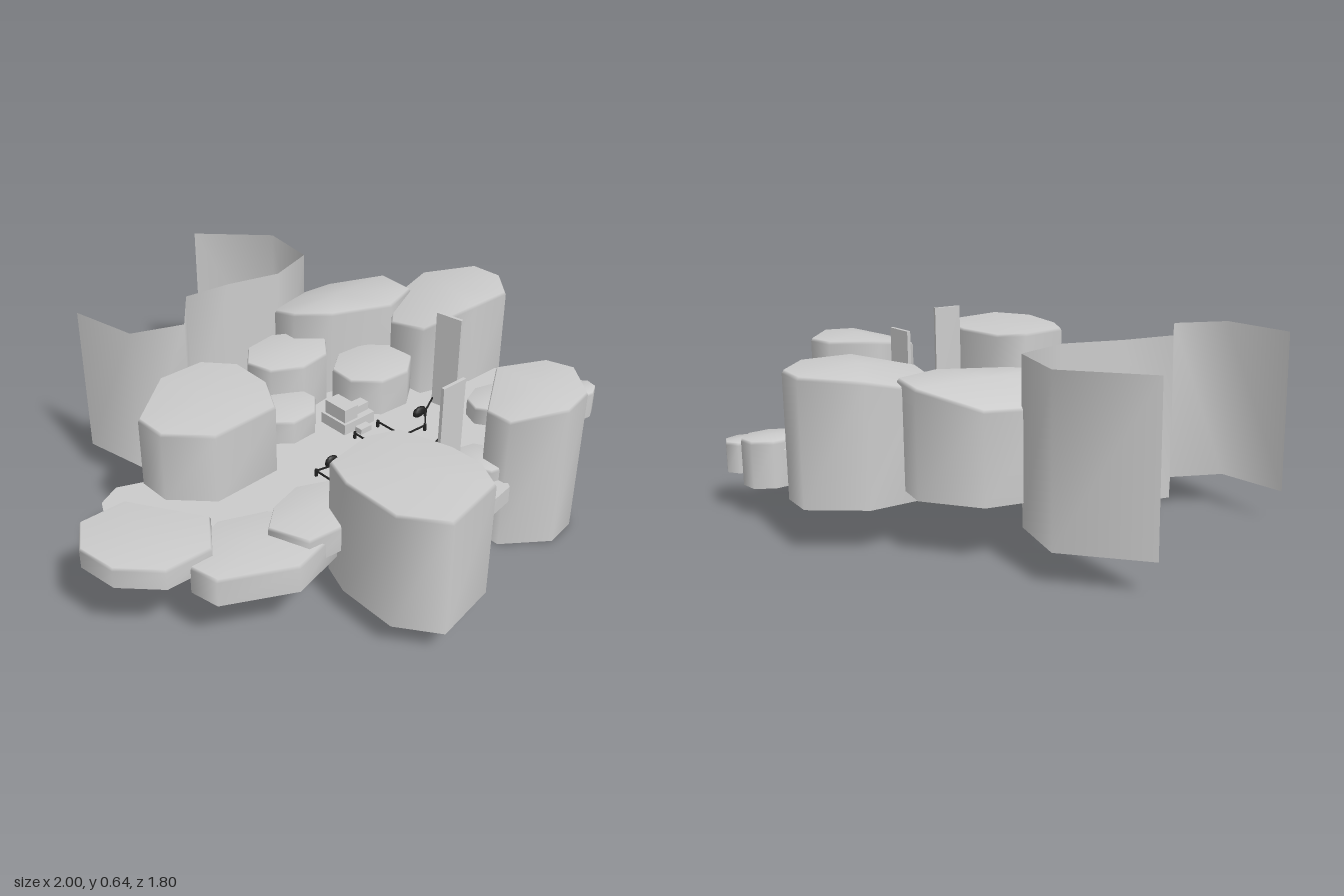
import * as THREE from 'three';

const mat = new THREE.MeshStandardMaterial({ color: 0xcccccc, side: THREE.DoubleSide });
const dark = new THREE.MeshStandardMaterial({ color: 0x222222 });
const FLOOR = 0.25;

function add(parent, name, geometry, material = mat) {
  const mesh = new THREE.Mesh(geometry, material);
  mesh.name = name;
  parent.add(mesh);
  return mesh;
}

function indexed(positions, index) {
  const g = new THREE.BufferGeometry();
  g.setAttribute('position', new THREE.Float32BufferAttribute(positions, 3));
  g.setIndex(index);
  g.computeVertexNormals();
  return g;
}

// Open-bottomed boulder: a plan outline raised from y0 to y1 with a narrow bevel,
// its top sinking by the given slopes
function boulder(outline, y0, y1, slopeX = 0, slopeZ = 0) {
  const n = outline.length;
  const cx = outline.reduce((s, p) => s + p[0], 0) / n;
  const cz = outline.reduce((s, p) => s + p[1], 0) / n;
  const positions = [], index = [];
  const sink = (x, z) => Math.min(0, slopeX * (x - cx) + slopeZ * (z - cz));
  for (const [x, z] of outline) positions.push(x, y0, z);
  for (const [x, z] of outline) positions.push(x, y1 - 0.015 + sink(x, z), z);
  for (const [x, z] of outline) {
    positions.push(cx + (x - cx) * 0.97, y1 - 0.004 + sink(x, z), cz + (z - cz) * 0.97);
  }
  positions.push(cx, y1, cz);
  for (let i = 0; i < n; i++) {
    const j = (i + 1) % n;
    for (const r of [0, n]) index.push(r + j, r + i, r + n + i, r + j, r + n + i, r + n + j);
    index.push(3 * n, 2 * n + j, 2 * n + i);
  }
  return indexed(positions, index);
}

function oval(cx, cz, rx, rz, turn = 0.3, n = 8) {
  return Array.from({ length: n }, (_, i) => {
    const a = turn + (i / n) * Math.PI * 2;
    return [cx + rx * Math.cos(a), cz + rz * Math.sin(a)];
  });
}

// Upright sheet following a plan path
function sheet(path, y0, y1) {
  const positions = [], index = [];
  path.forEach(([x, z], i) => {
    positions.push(x, y0, z, x, y1, z);
    const k = 2 * i;
    if (i) index.push(k - 2, k, k + 1, k - 2, k + 1, k - 1);
  });
  return indexed(positions, index);
}

export function createModel() {
  const model = new THREE.Group();
  model.name = 'rockyArena';

  // Thin arena floor
  const floorPlan = [
    [-0.83, -0.02], [-0.78, -0.12], [-0.7, -0.16], [-0.6, -0.12], [-0.4, -0.1],
    [0.05, -0.2], [0.3, -0.12], [0.6, 0], [0.8, 0.13], [0.87, 0.23], [0.78, 0.3],
    [0.5, 0.36], [0.42, 0.5], [0.3, 0.6], [0.25, 0.68], [0.13, 0.7], [0.05, 0.69],
    [0, 0.55], [-0.3, 0.42], [-0.6, 0.32], [-0.8, 0.1],
  ];
  const floor = new THREE.ShapeGeometry(new THREE.Shape(floorPlan.map(([x, z]) => new THREE.Vector2(x, -z))));
  floor.rotateX(-Math.PI / 2);
  add(model, 'floor', floor).position.y = FLOOR;
  add(model, 'floorFrontSkirt', sheet([[0.05, 0.69], [0.13, 0.7], [0.25, 0.68]], 0.19, FLOOR));

  // Large boulders ringing the floor
  add(model, 'backRightBoulder', boulder([[-0.42, -0.285], [-0.25, -0.285], [-0.165, -0.19], [-0.17, -0.03],
    [-0.25, 0.11], [-0.5, 0.12], [-0.62, 0], [-0.62, -0.12]], 0.24, 0.5));
  add(model, 'backLeftBoulder', boulder([[0.29, -0.49], [0.5, -0.46], [0.64, -0.3], [0.63, -0.15],
    [0.48, -0.1], [0.27, -0.19], [0.165, -0.28], [0.17, -0.39]], 0.19, 0.54, 0, 0.3));
  add(model, 'leftBoulder', boulder([[0.45, -0.07], [0.58, -0.19], [0.75, -0.2], [0.92, -0.09],
    [0.925, 0.03], [0.83, 0.14], [0.66, 0.14], [0.46, 0.08]], 0.15, 0.565, 0.26, 0.15));
  add(model, 'frontLeftBoulder', boulder([[0.25, 0.56], [0.43, 0.44], [0.59, 0.52], [0.62, 0.615],
    [0.52, 0.745], [0.4, 0.765], [0.25, 0.655]], 0, 0.53, 0.23));
  add(model, 'frontRightBoulder', boulder([[-0.37, 0.56], [-0.33, 0.45], [-0.155, 0.42], [-0.05, 0.46],
    [0, 0.64], [0, 0.76], [-0.05, 0.855], [-0.28, 0.9], [-0.375, 0.77]], 0.09, 0.5));
  add(model, 'frontRightLowBoulder', boulder([[-0.1, 0.53], [0.045, 0.53], [0.07, 0.6], [0.02, 0.79],
    [-0.06, 0.845], [-0.12, 0.8]], 0.09, 0.325));
  add(model, 'rightOuterBoulder', boulder([[-0.93, 0], [-0.77, 0], [-0.62, 0.24], [-0.71, 0.365],
    [-0.87, 0.36], [-0.98, 0.25], [-1, 0.11]], 0.25, 0.325));
  add(model, 'rightMiddleBoulder', boulder([[-0.79, 0.36], [-0.7, 0.28], [-0.6, 0.24], [-0.45, 0.3],
    [-0.36, 0.42], [-0.36, 0.52], [-0.55, 0.57], [-0.77, 0.46]], 0.195, 0.295));
  add(model, 'rightInnerBoulder', boulder([[-0.53, 0.4], [-0.45, 0.33], [-0.33, 0.295], [-0.18, 0.36],
    [-0.17, 0.45], [-0.32, 0.545], [-0.48, 0.53]], 0.23, 0.325));

  // Smaller rocks: centre x, z, radius x, z, bottom, top
  const smallRocks = [
    [0.09, -0.23, 0.165, 0.13, 0.23, 0.44],
    [-0.06, -0.09, 0.13, 0.125, 0.24, 0.34],
    [0.32, -0.03, 0.155, 0.135, 0.24, 0.39],
    [0.26, 0.55, 0.07, 0.09, 0.16, 0.3],
    [0.555, 0.345, 0.105, 0.085, 0.1, 0.32],
    [0.7, 0.345, 0.095, 0.08, 0.1, 0.29],
    [0.87, 0.345, 0.1, 0.08, 0.11, 0.275],
    [0.65, 0.435, 0.07, 0.05, 0.065, 0.28],
    [0.795, 0.435, 0.07, 0.05, 0.1, 0.245],
    [0.93, 0.44, 0.07, 0.055, 0.14, 0.25],
  ];
  smallRocks.forEach(([x, z, rx, rz, y0, y1], i) =>
    add(model, `smallRock${i + 1}`, boulder(oval(x, z, rx, rz, 0.2 + i * 0.13), y0, y1)));

  // Wavy backdrop cliff with wings folded to the rear
  add(model, 'backCliff', sheet([[-0.51, -0.62], [-0.462, -0.375], [-0.29, -0.31], [-0.16, -0.475],
    [0.01, -0.455], [0.2, -0.405], [0.378, -0.465], [0.41, -0.685], [0.195, -0.9]], 0.11, 0.64));

  // Tall gate panels at the ends of two walkways
  add(model, 'frontGate', new THREE.BoxGeometry(0.1, 0.36, 0.012)).position.set(0.13, 0.43, 0.515);
  const sideGate = add(model, 'leftGate', new THREE.BoxGeometry(0.012, 0.36, 0.1));
  sideGate.position.set(0.458, 0.43, 0.2);
  sideGate.rotation.y = 0.16;

  // Small altar at the head of the cross
  const altar = new THREE.Group();
  altar.name = 'altar';
  model.add(altar);
  for (const [name, x, z, w, h, d] of [
    ['altarBase', 0.13, 0.045, 0.14, 0.04, 0.12],
    ['altarBack', 0.1, 0.045, 0.06, 0.09, 0.1],
    ['altarBlock', 0.165, 0.06, 0.06, 0.07, 0.04],
    ['altarStep', 0.13, 0.125, 0.05, 0.02, 0.03],
  ]) add(altar, name, new THREE.BoxGeometry(w, h, d)).position.set(x, FLOOR + h / 2, z);

  // Low cross-shaped railing with posts that pass through the floor
  const railing = new THREE.Group();
  railing.name = 'railing';
  model.add(railing);
  const railPath = [[0.075, 0.14], [0.07, 0.265], [-0.05, 0.245], [-0.175, 0.22], [-0.175, 0.295],
    [-0.05, 0.33], [0.07, 0.355], [0.1, 0.345], [0.09, 0.505], [0.18, 0.505], [0.185, 0.375],
    [0.29, 0.35], [0.465, 0.24], [0.455, 0.15], [0.36, 0.2], [0.29, 0.265], [0.185, 0.26], [0.185, 0.14]];
  railPath.forEach(([x, z], i) => {
    add(railing, 'post', new THREE.CylinderGeometry(0.006, 0.006, 0.03, 6), dark).position.set(x, FLOOR + 0.01, z);
    if (!i) return;
    const [px, pz] = railPath[i - 1];
    const bar = add(railing, 'rail', new THREE.BoxGeometry(Math.hypot(x - px, z - pz), 0.005, 0.005), dark);
    bar.position.set((x + px) / 2, FLOOR + 0.02, (z + pz) / 2);
    bar.rotation.y = -Math.atan2(z - pz, x - px);
  });

  // Little heaps lying beside the railing
  for (const [x, z, rx, rz] of [[-0.1, 0.21, 0.028, 0.01], [0.34, 0.19, 0.032, 0.012], [0.085, 0.39, 0.015, 0.028]]) {
    const heap = add(model, 'heap', new THREE.SphereGeometry(1, 8, 6), dark);
    heap.scale.set(rx, 0.02, rz);
    heap.position.set(x, FLOOR + 0.02, z);
  }
  return model;
}
